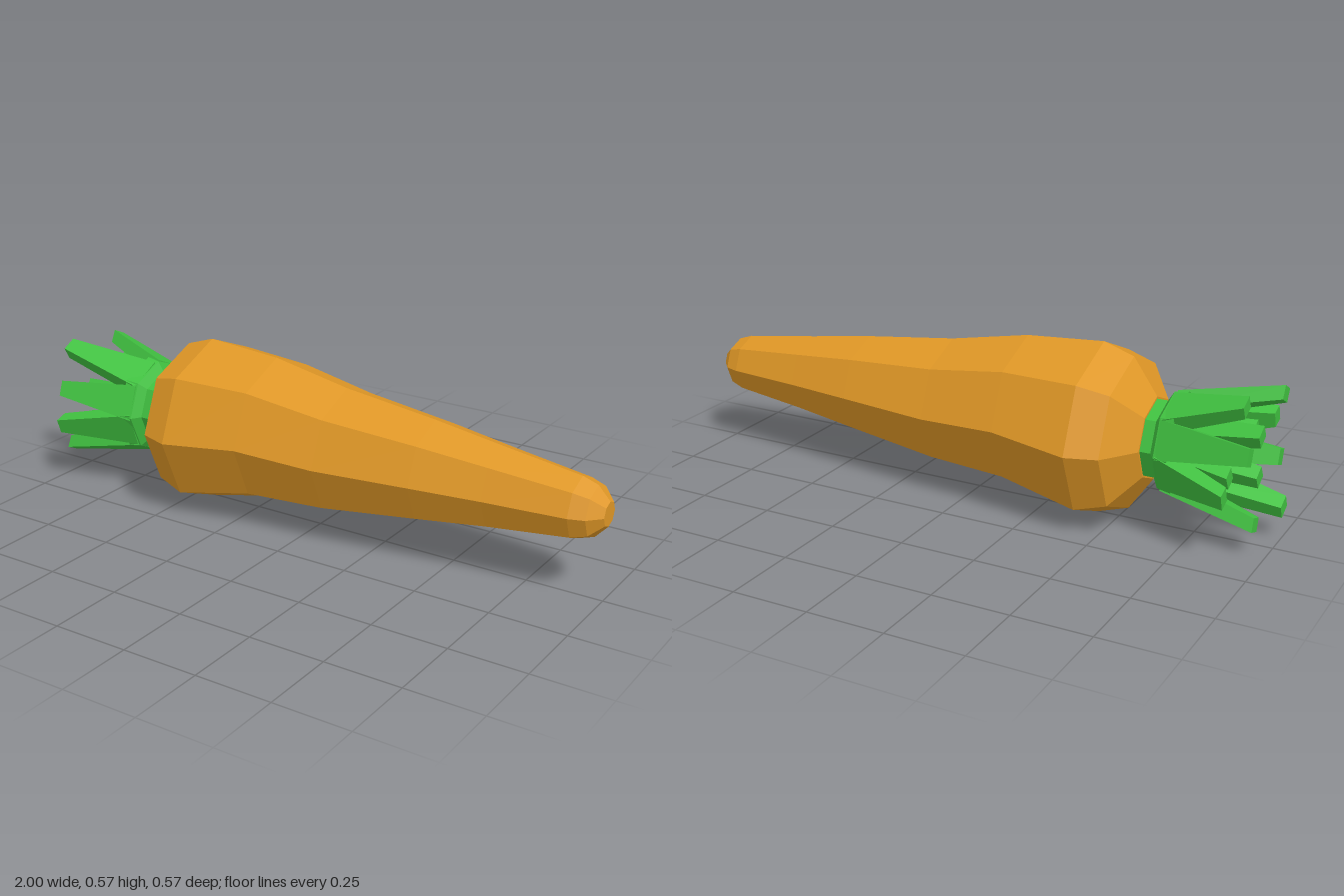
import * as THREE from 'three';

const AXIS_Y = 0.283;
const DEG = Math.PI / 180;

// Eight-sided solid lying along x; each ring is [x, radius, vertical drift]
function octagonal(rings) {
  const g = new THREE.LatheGeometry(rings.map(([x, r]) => new THREE.Vector2(r, x)), 8);
  g.rotateZ(-Math.PI / 2);
  const p = g.attributes.position;
  for (let i = 0; i < p.count; i++) {
    p.setY(i, p.getY(i) + AXIS_Y + (rings[i % rings.length][2] || 0));
  }
  g.computeVertexNormals();
  return g;
}

// Tapered square stalk running from x0 to x1, at an angle round the x axis
function stalk(x0, x1, base, tip, degrees) {
  const g = new THREE.BoxGeometry(1, 1, 1);
  const p = g.attributes.position;
  for (let i = 0; i < p.count; i++) {
    const atTip = p.getX(i) < 0;
    const s = atTip ? tip : base;
    p.setXYZ(i,
      atTip ? x1 : x0,
      p.getY(i) > 0 ? s.outer : s.inner,
      Math.sign(p.getZ(i)) * s.width / 2);
  }
  g.rotateX((90 - degrees) * DEG); // 0 faces +z, 90 faces up
  g.translate(0, AXIS_Y, 0);
  g.computeVertexNormals();
  return g;
}

export function createModel() {
  const model = new THREE.Group();
  model.name = 'carrot';
  const orange = new THREE.MeshStandardMaterial({ color: 0xdf9726, flatShading: true });
  orange.name = 'carrot orange';
  const green = new THREE.MeshStandardMaterial({ color: 0x40c040, flatShading: true });
  green.name = 'leaf green';

  const add = (parent, name, geometry, material) => {
    const mesh = new THREE.Mesh(geometry, material);
    mesh.name = name;
    parent.add(mesh);
  };

  // Root: rounded shoulder, slightly wavy taper, blunt tip
  add(model, 'root', octagonal([
    [-0.61, 0], [-0.61, 0.135], [-0.53, 0.25], [-0.43, 0.283],
    [-0.17, 0.244, 0.02], [0.1, 0.21, 0.002], [0.42, 0.168, 0.004],
    [0.65, 0.134, 0.003], [0.91, 0.1], [0.96, 0.083], [1, 0.04], [1, 0],
  ]), orange);

  // Collar and flared base of the leaves
  const top = new THREE.Group();
  top.name = 'leafTop';
  model.add(top);
  add(top, 'collar', octagonal([
    [-0.71, 0], [-0.71, 0.168], [-0.665, 0.16], [-0.645, 0.128], [-0.605, 0.128], [-0.605, 0],
  ]), green);

  // Outer ring of stalks, one for each side of the collar
  const ends = [-0.93, -0.98, -0.92, -0.97, -0.9, -0.96, -1, -0.95];
  const turns = [-3, -5, 3, 2, -2, 4, 3, 4];
  ends.forEach((end, i) => add(top, 'outerStalk', stalk(
    -0.67, end,
    { inner: 0.09, outer: 0.15, width: 0.122 },
    { inner: 0.178, outer: 0.222, width: 0.052 },
    22.5 + i * 45 + turns[i]), green));

  // Inner ring of shorter, narrower stalks
  [-0.9, -0.96, -0.88, -0.93].forEach((end, i) => add(top, 'innerStalk', stalk(
    -0.69, end,
    { inner: 0.03, outer: 0.09, width: 0.08 },
    { inner: 0.075, outer: 0.12, width: 0.05 },
    30 + i * 90), green));

  return model;
}
